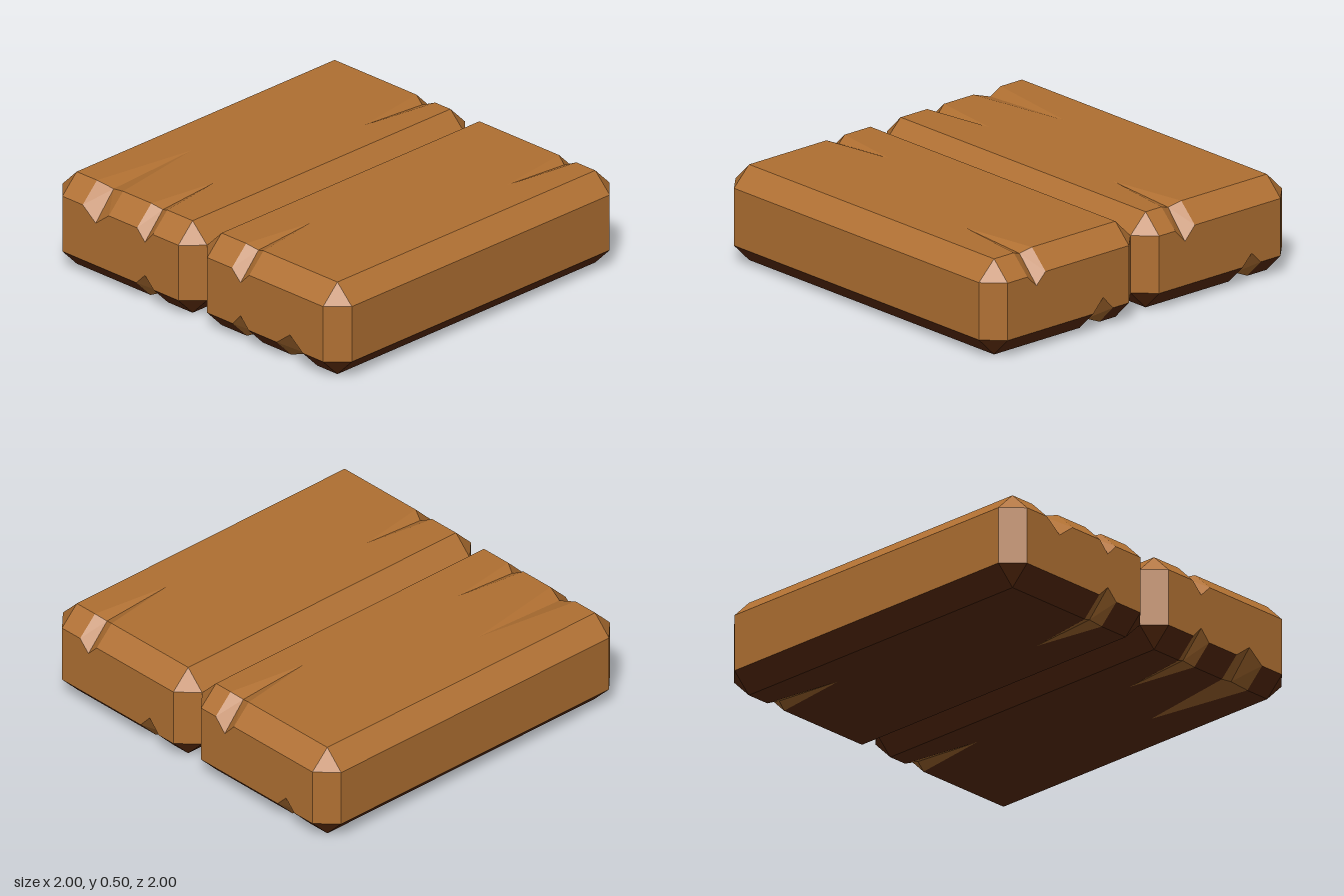
import * as THREE from 'three';

const X = 1, Y = 0.25, Z = 0.5, C = 0.1; // half sizes of one plank, and its chamfer

// Splits running in from the ends: end side, face side, centre z, half width, tip x, depth
const SPLITS = [
  { sx: 1, sy: 1, z: 0.23, w: 0.065, tip: 0.47, d: 0.07 },
  { sx: -1, sy: 1, z: -0.17, w: 0.09, tip: -0.33, d: 0.07 },
  { sx: -1, sy: 1, z: 0.17, w: 0.055, tip: -0.51, d: 0.06 },
  { sx: -1, sy: -1, z: 0.17, w: 0.06, tip: -0.51, d: 0.06 },
  { sx: 1, sy: -1, z: -0.21, w: 0.06, tip: 0.47, d: 0.06 },
];

const v = (x, y, z) => new THREE.Vector3(x, y, z);

// Adds a flat polygon, turned so that it faces along the hint direction
function addPolygon(out, pts, hint) {
  const n = v(0, 0, 0);
  for (let i = 1; i < pts.length - 1; i++) {
    n.add(pts[i].clone().sub(pts[0]).cross(pts[i + 1].clone().sub(pts[0])));
  }
  const a = [Math.abs(n.x), Math.abs(n.y), Math.abs(n.z)];
  const k = a.indexOf(Math.max(...a));
  const flat = pts.map((p) => {
    const q = p.toArray();
    return new THREE.Vector2(q[(k + 1) % 3], q[(k + 2) % 3]);
  });
  for (const tri of THREE.ShapeUtils.triangulateShape(flat, [])) {
    const [p, q, r] = tri.map((i) => pts[i]);
    const m = q.clone().sub(p).cross(r.clone().sub(p));
    for (const c of m.dot(hint) >= 0 ? [p, q, r] : [p, r, q]) out.push(c.x, c.y, c.z);
  }
}

// Material groups: 0 = sides and split walls, 1 = +y face and chamfers, 2 = -y face and chamfers
function plankGeometry() {
  const sides = [], upper = [], lower = [];
  const xi = X - C, yi = Y - C, zi = Z - C;
  const at = (sx, sy) => SPLITS.filter((s) => s.sx === sx && s.sy === sy).sort((a, b) => a.z - b.z);

  for (const sy of [1, -1]) {
    const broad = sy > 0 ? upper : lower;
    // Broad face, with a pointed cut for every split
    const side = (sx) => [
      v(sx * xi, sy * Y, -zi),
      ...at(sx, sy).flatMap((s) => [
        v(sx * xi, sy * Y, s.z - s.w), v(s.tip, sy * Y, s.z), v(sx * xi, sy * Y, s.z + s.w),
      ]),
      v(sx * xi, sy * Y, zi),
    ];
    addPolygon(broad, [...side(1), ...side(-1).reverse()], v(0, sy, 0));

    for (const sx of [1, -1]) {
      const hint = v(sx, sy, 0);
      // End chamfer, in strips between the splits
      const stops = [-zi, ...at(sx, sy).flatMap((s) => [s.z - s.w, s.z + s.w]), zi];
      for (let i = 0; i < stops.length; i += 2) {
        const [a, b] = [stops[i], stops[i + 1]];
        addPolygon(broad, [
          v(sx * xi, sy * Y, a), v(sx * X, sy * yi, a), v(sx * X, sy * yi, b), v(sx * xi, sy * Y, b),
        ], hint);
      }
      // Sloping walls of the splits
      for (const s of at(sx, sy)) {
        const tip = v(s.tip, sy * Y, s.z);
        const bend = v(sx * (xi - 0.025), sy * (Y - 0.025), s.z);
        const mouth = v(sx * X, sy * (yi - s.d), s.z);
        for (const e of [s.z - s.w, s.z + s.w]) {
          const rim = v(sx * xi, sy * Y, e), lip = v(sx * X, sy * yi, e);
          addPolygon(sides, [tip, rim, bend], hint);
          addPolygon(sides, [bend, rim, lip], hint);
          addPolygon(sides, [bend, lip, mouth], hint);
        }
      }
    }

    for (const sz of [1, -1]) {
      // Long chamfer and corner triangles
      addPolygon(broad, [
        v(-xi, sy * Y, sz * zi), v(xi, sy * Y, sz * zi), v(xi, sy * yi, sz * Z), v(-xi, sy * yi, sz * Z),
      ], v(0, sy, sz));
      for (const sx of [1, -1]) {
        addPolygon(broad, [
          v(sx * xi, sy * Y, sz * zi), v(sx * X, sy * yi, sz * zi), v(sx * xi, sy * yi, sz * Z),
        ], v(sx, sy, sz));
      }
    }
  }

  for (const sx of [1, -1]) {
    // End face, notched by the splits
    const edge = (sy) => [
      v(sx * X, sy * yi, -zi),
      ...at(sx, sy).flatMap((s) => [
        v(sx * X, sy * yi, s.z - s.w), v(sx * X, sy * (yi - s.d), s.z), v(sx * X, sy * yi, s.z + s.w),
      ]),
      v(sx * X, sy * yi, zi),
    ];
    addPolygon(sides, [...edge(1), ...edge(-1).reverse()], v(sx, 0, 0));
  }

  for (const sz of [1, -1]) {
    // Long face
    addPolygon(sides, [
      v(-xi, -yi, sz * Z), v(xi, -yi, sz * Z), v(xi, yi, sz * Z), v(-xi, yi, sz * Z),
    ], v(0, 0, sz));
    // Upright corner chamfers
    for (const sx of [1, -1]) {
      addPolygon(sides, [
        v(sx * X, -yi, sz * zi), v(sx * X, yi, sz * zi), v(sx * xi, yi, sz * Z), v(sx * xi, -yi, sz * Z),
      ], v(sx, 0, sz));
    }
  }

  const geometry = new THREE.BufferGeometry();
  geometry.setAttribute('position', new THREE.Float32BufferAttribute([...sides, ...upper, ...lower], 3));
  let start = 0;
  [sides, upper, lower].forEach((list, i) => {
    geometry.addGroup(start, list.length / 3, i);
    start += list.length / 3;
  });
  geometry.computeVertexNormals(); // unshared corners keep every facet flat
  return geometry;
}

function makeMaterial(name, color) {
  const material = new THREE.MeshStandardMaterial({ color });
  material.name = name;
  return material;
}

export function createModel() {
  const wood = makeMaterial('wood', 0xb07032);
  const darkWood = makeMaterial('darkWood', 0x64300f);
  const geometry = plankGeometry();
  const model = new THREE.Group();
  model.name = 'woodenFloorTile';

  const backPlank = new THREE.Mesh(geometry, [wood, wood, darkWood]);
  backPlank.name = 'backPlank';
  backPlank.position.set(0, Y, -Z);

  // The front plank is the same board turned over, again dark underneath
  const frontPlank = new THREE.Mesh(geometry, [wood, darkWood, wood]);
  frontPlank.name = 'frontPlank';
  frontPlank.position.set(0, Y, Z);
  frontPlank.rotation.x = Math.PI;

  model.add(backPlank, frontPlank);
  return model;
}
